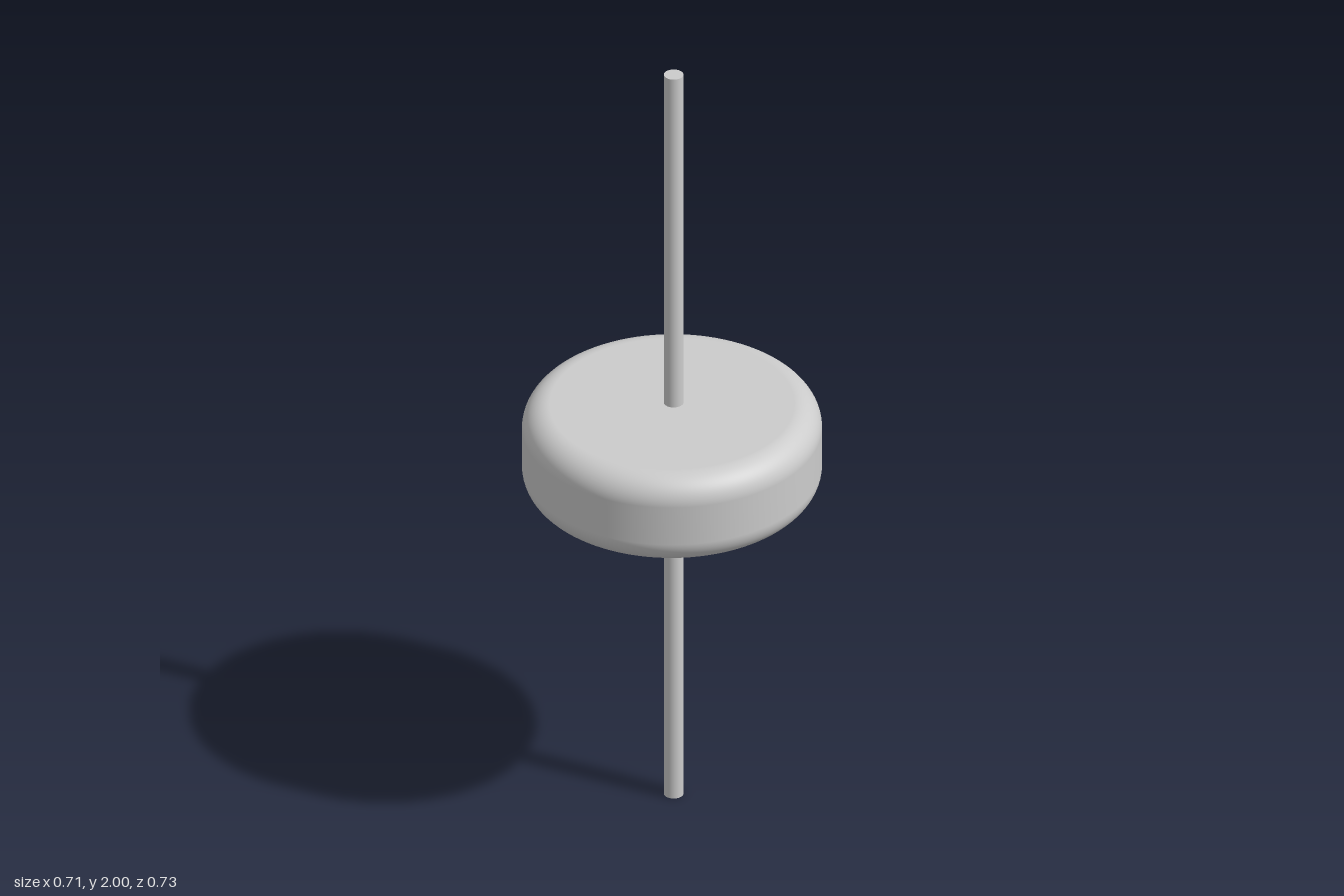
import * as THREE from 'three';

export function createModel() {
  const model = new THREE.Group();
  const material = new THREE.MeshStandardMaterial({ color: 0xcccccc });

  // Slim spindle running the full height
  const spindle = new THREE.Mesh(new THREE.CylinderGeometry(0.0233, 0.0233, 2, 48), material);
  spindle.name = 'spindle';
  spindle.position.set(0.003, 1, -0.007);
  model.add(spindle);

  // Slightly oval disc with rounded rims, as a half profile
  const radius = 0.356, bottom = 0.853, top = 1.088, round = 0.066;
  const profile = new THREE.Path();
  profile.moveTo(0, bottom);
  profile.lineTo(radius - round, bottom);
  profile.absarc(radius - round, bottom + round, round, -Math.PI / 2, 0);
  profile.absarc(radius - round, top - round, round, 0, Math.PI / 2);
  profile.lineTo(0, top);
  const disc = new THREE.Mesh(new THREE.LatheGeometry(profile.getPoints(12), 96), material);
  disc.name = 'disc';
  disc.scale.z = 0.365 / radius;
  model.add(disc);

  return model;
}
